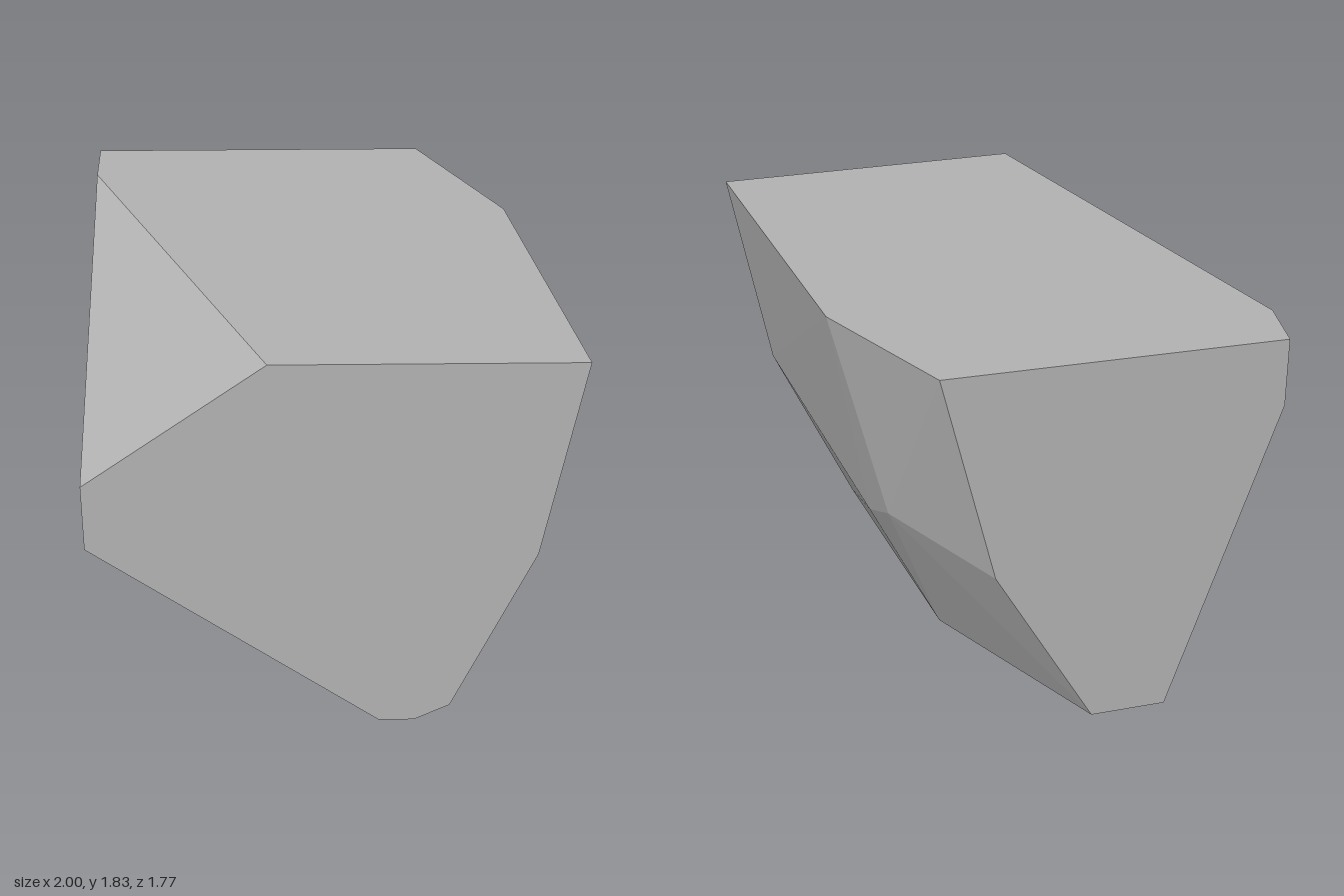
import * as THREE from 'three';
import { ConvexGeometry } from 'three/addons/geometries/ConvexGeometry.js';

// A chipped boulder: the convex hull of its corners, faceted.
export function createModel() {
  const model = new THREE.Group();
  model.name = 'boulder';
  const stone = new THREE.MeshStandardMaterial({ color: 0xb3b3b3 });
  stone.name = 'grey stone';

  const corners = [
    // flat top
    [-0.25, 1.83, 0.885], [1, 1.83, 0.885], [0.75, 1.83, -0.33],
    [0.4, 1.83, -0.885], [-1, 1.83, -0.885], [-1, 1.83, -0.66],
    // rest of the front cut
    [-1, 1.26, 0.885], [-1, 0.95, 0.885], [0.2, 0.03, 0.885],
    [0.35, 0.03, 0.885], [0.5, 0.11, 0.885], [0.84, 0.91, 0.885],
    // bulge of the +x side
    [0.57, 0.71, -0.12], [0.535, 0.88, -0.4], [0.18, 0.84, -0.885],
    // flat -x side
    [-1, 1.52, -0.885], [-1, 1.16, -0.56],
    // underside
    [0.32, 0, 0.42], [0.27, 0.04, -0.11],
    [-0.24, 0.04, -0.885], [-0.56, 0.05, -0.885],
  ].map((c) => new THREE.Vector3(...c));

  const rock = new THREE.Mesh(new ConvexGeometry(corners), stone);
  rock.name = 'rock';
  model.add(rock);
  return model;
}
